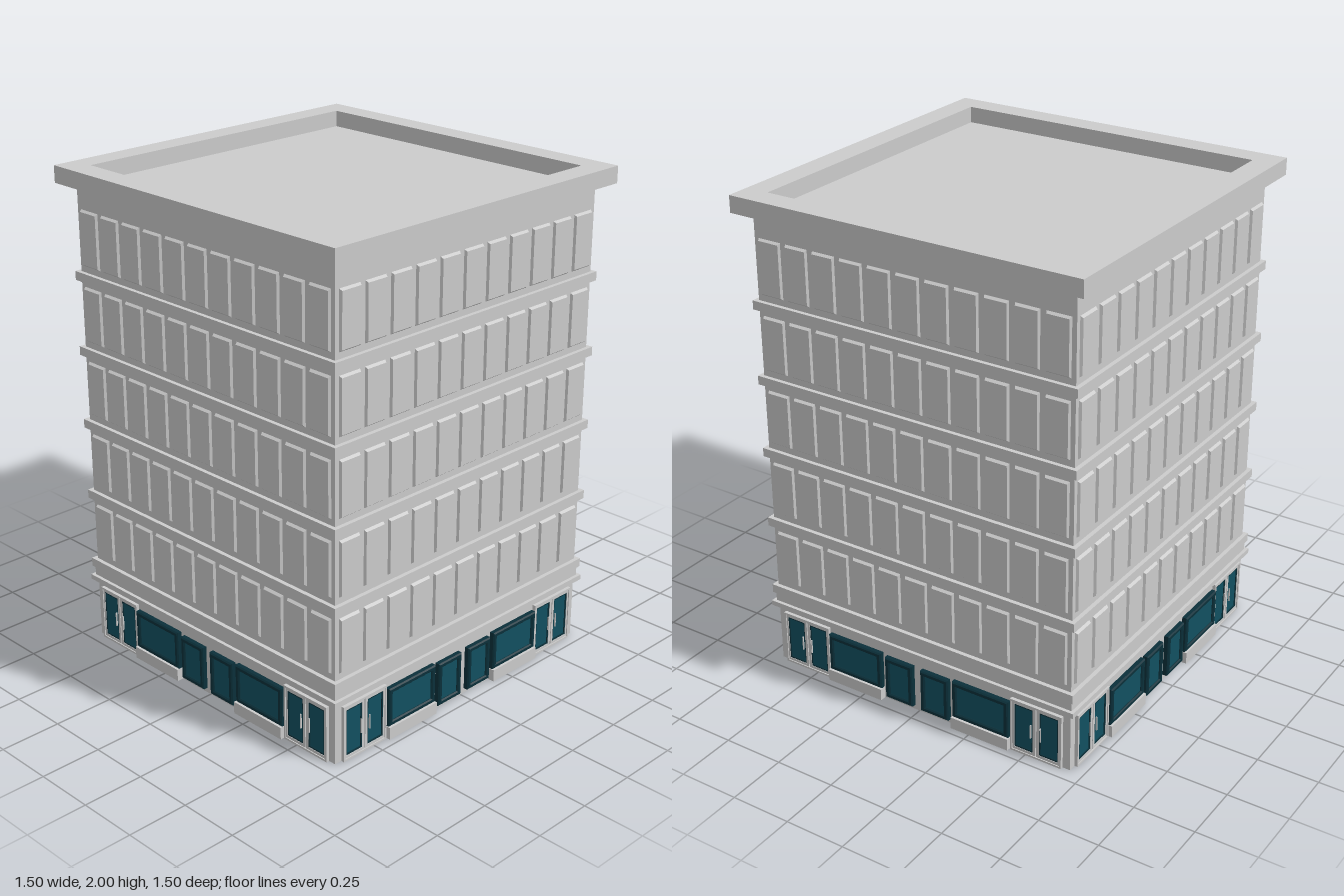
import * as THREE from 'three';

const grey = new THREE.MeshStandardMaterial({ color: 0xcccccc });
const teal = new THREE.MeshStandardMaterial({ color: 0x125060 });
const darkTeal = new THREE.MeshStandardMaterial({ color: 0x0b303a });

const WALL = 0.692;      // half width of the tower
const FLOORS = 5, FLOOR_STEP = 0.3085;
const BAYS = 11, BAY_STEP = 0.1246;

function add(parent, name, geometry, material, x = 0, y = 0, z = 0) {
  const mesh = new THREE.Mesh(geometry, material);
  mesh.name = name;
  mesh.position.set(x, y, z);
  parent.add(mesh);
  return mesh;
}

// Box given by its x and y limits, reaching from z0 to z1
function slab(parent, name, material, x0, x1, y0, y1, z0, z1) {
  return add(parent, name, new THREE.BoxGeometry(x1 - x0, y1 - y0, z1 - z0), material,
    (x0 + x1) / 2, (y0 + y1) / 2, (z0 + z1) / 2);
}

// Square course running around the tower
function course(parent, name, half, y0, y1) {
  return slab(parent, name, grey, -half, half, y0, y1, -half, half);
}

// Box whose front face is pulled in on all four sides
function bevelledBox(w, h, d, bx, by) {
  const g = new THREE.BoxGeometry(w, h, d);
  const p = g.attributes.position;
  for (let i = 0; i < p.count; i++) {
    if (p.getZ(i) > 0) {
      p.setX(i, p.getX(i) - Math.sign(p.getX(i)) * bx);
      p.setY(i, p.getY(i) - Math.sign(p.getY(i)) * by);
    }
  }
  g.computeVertexNormals();
  return g;
}

// Rectangle path for outlines and holes
function rect(path, w, h) {
  path.moveTo(-w / 2, -h / 2);
  path.lineTo(w / 2, -h / 2);
  path.lineTo(w / 2, h / 2);
  path.lineTo(-w / 2, h / 2);
  path.closePath();
  return path;
}

function frameGeometry(w, h, border, depth, bevel = 0) {
  const shape = rect(new THREE.Shape(), w - 2 * bevel, h - 2 * bevel);
  shape.holes.push(rect(new THREE.Path(), w - 2 * border, h - 2 * border));
  return new THREE.ExtrudeGeometry(shape, {
    depth: depth - bevel, bevelEnabled: bevel > 0, bevelSegments: 1,
    bevelSize: bevel, bevelThickness: bevel,
  });
}

// Shop window: bevelled dark frame around set-back glass
function shopWindow(parent, x0, x1, y0, y1) {
  const g = new THREE.Group();
  g.name = 'shopWindow';
  g.position.set((x0 + x1) / 2, (y0 + y1) / 2, WALL);
  const w = x1 - x0, h = y1 - y0;
  add(g, 'windowFrame', frameGeometry(w, h, 0.016, 0.022, 0.005), darkTeal);
  add(g, 'windowGlass', new THREE.BoxGeometry(w - 0.02, h - 0.02, 0.02), teal, 0, 0, 0.004);
  parent.add(g);
}

// Double door: two framed glass leaves with upright handles
function doubleDoor(parent, x0, x1) {
  const g = new THREE.Group();
  g.name = 'doubleDoor';
  g.position.set((x0 + x1) / 2, 0.116, WALL);
  const w = x1 - x0, h = 0.232, leaf = w / 2 - 0.006;
  add(g, 'doorSurround', frameGeometry(w, h, 0.008, 0.014), grey);
  for (const s of [-1, 1]) {
    const x = s * (leaf / 2 + 0.002);
    add(g, 'leafFrame', frameGeometry(leaf, h - 0.014, 0.012, 0.01), grey, x);
    add(g, 'leafTrim', frameGeometry(leaf - 0.018, h - 0.034, 0.008, 0.008), darkTeal, x);
    add(g, 'leafGlass', new THREE.BoxGeometry(leaf - 0.024, h - 0.038, 0.008), teal, x);
    add(g, 'doorHandle', new THREE.BoxGeometry(0.004, 0.06, 0.006), grey, s * 0.022, 0, 0.013);
  }
  parent.add(g);
}

function facade() {
  const side = new THREE.Group();
  side.name = 'facade';

  // Raised panels of the upper floors
  const panel = bevelledBox(0.113, 0.245, 0.024, 0.011, 0.018);
  for (let f = 0; f < FLOORS; f++) {
    for (let b = 0; b < BAYS; b++) {
      add(side, 'wallPanel', panel, grey,
        (b - (BAYS - 1) / 2) * BAY_STEP, 0.487 + f * FLOOR_STEP, WALL - 0.002);
    }
  }

  // Ground floor, mirrored about the middle
  for (const s of [-1, 1]) {
    const span = (a, b) => (s > 0 ? [a, b] : [-b, -a]);
    shopWindow(side, ...span(0.02, 0.15), 0.02, 0.205);
    shopWindow(side, ...span(0.17, 0.427), 0.05, 0.212);
    doubleDoor(side, ...span(0.433, 0.66));
    slab(side, 'windowPlinth', grey, ...span(0.168, 0.43), 0, 0.05, WALL - 0.02, 0.72);
  }
  return side;
}

export function createModel() {
  const model = new THREE.Group();
  model.name = 'officeBuilding';

  course(model, 'towerBody', WALL, 0, 1.93);
  course(model, 'groundFloorCornice', 0.714, 0.254, 0.275);
  course(model, 'baseCourse', 0.7, 0.275, 0.314);
  for (let f = 0; f < FLOORS; f++) {
    const y = 0.332 + f * FLOOR_STEP;
    course(model, 'floorBand', 0.709, y - 0.018, y + 0.018);
  }

  // Overhanging parapet around the sunken roof
  const parapet = add(model, 'roofParapet', frameGeometry(1.5, 1.5, 0.098, 0.068), grey, 0, 1.932, 0);
  parapet.rotation.x = -Math.PI / 2;
  course(model, 'roofDeck', 0.66, 1.92, 1.934);

  // Same facade on all four sides
  for (let i = 0; i < 4; i++) {
    const side = facade();
    side.rotation.y = i * Math.PI / 2;
    model.add(side);
  }
  return model;
}
